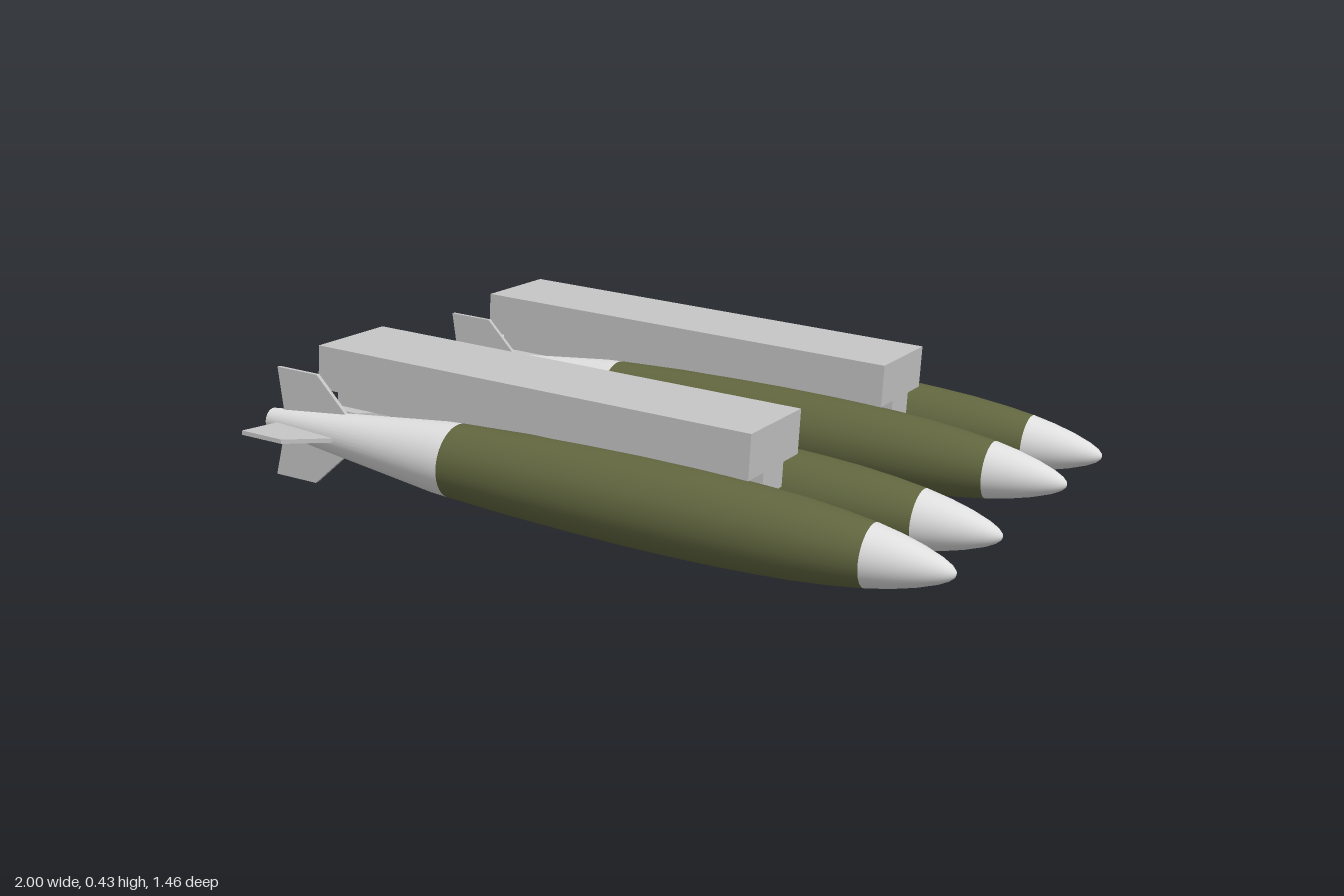
import * as THREE from 'three';

const lightGrey = new THREE.MeshStandardMaterial({ color: 0xdedede });
lightGrey.name = 'light grey';
const midGrey = new THREE.MeshStandardMaterial({ color: 0xc4c4c4 });
midGrey.name = 'mid grey';
const olive = new THREE.MeshStandardMaterial({ color: 0x61663f });
olive.name = 'olive';

// Profiles as [position along the axis, radius]
const TAIL = [[-1, 0], [-1, 0.031], [-1, 0.031], [-0.44, 0.096], [-0.39, 0.099]];
const BODY = [[-0.39, 0.099], [-0.2, 0.108], [0, 0.1135], [0.15, 0.1155], [0.3, 0.1145],
  [0.4, 0.112], [0.5, 0.108], [0.6, 0.102], [0.7, 0.092], [0.785, 0.08]];
const NOSE = [[0.785, 0.08], [0.85, 0.067], [0.91, 0.051], [0.96, 0.033], [0.985, 0.02], [0.997, 0.009], [1, 0]];

function add(parent, name, geometry, material) {
  const mesh = new THREE.Mesh(geometry, material);
  mesh.name = name;
  parent.add(mesh);
  return mesh;
}

// Turned section lying along x
function turned(profile) {
  const points = profile.map(([s, r]) => new THREE.Vector2(r, s));
  return new THREE.LatheGeometry(points, 40).rotateZ(-Math.PI / 2);
}

function finGeometry() {
  const shape = new THREE.Shape([[-0.98, 0.153], [-0.95, 0], [-0.745, 0], [-0.745, 0.055], [-0.847, 0.153]]
    .map(([x, y]) => new THREE.Vector2(x, y)));
  return new THREE.ExtrudeGeometry(shape, { depth: 0.012, bevelEnabled: false }).translate(0, 0, -0.006);
}

function makeStore(parts, z) {
  const store = new THREE.Group();
  store.name = 'store';
  store.position.z = z;
  add(store, 'tailCone', parts.tail, lightGrey);
  add(store, 'body', parts.body, olive);
  add(store, 'noseCone', parts.nose, lightGrey);
  for (let i = 0; i < 4; i++) {
    add(store, 'tailFin', parts.fin, midGrey).rotation.x = i * Math.PI / 2;
  }
  return store;
}

export function createModel() {
  const model = new THREE.Group();
  model.name = 'twinRacks';
  const parts = { tail: turned(TAIL), body: turned(BODY), nose: turned(NOSE), fin: finGeometry() };

  // Two racks, each pitched nose down and carrying a pair of stores
  for (const side of [1, -1]) {
    const rack = new THREE.Group();
    rack.name = side > 0 ? 'frontRack' : 'rearRack';
    rack.position.set(0, 0.1455, side * 0.417);
    rack.rotation.z = THREE.MathUtils.degToRad(-3.8);
    add(rack, 'rackBeam', new THREE.BoxGeometry(1.302, 0.12, 0.285), midGrey).position.set(-0.207, 0.169, 0);
    add(rack, 'rackKeel', new THREE.BoxGeometry(1.302, 0.068, 0.115), midGrey).position.set(-0.207, 0.077, 0);
    rack.add(makeStore(parts, 0.16), makeStore(parts, -0.16));
    model.add(rack);
  }
  return model;
}
